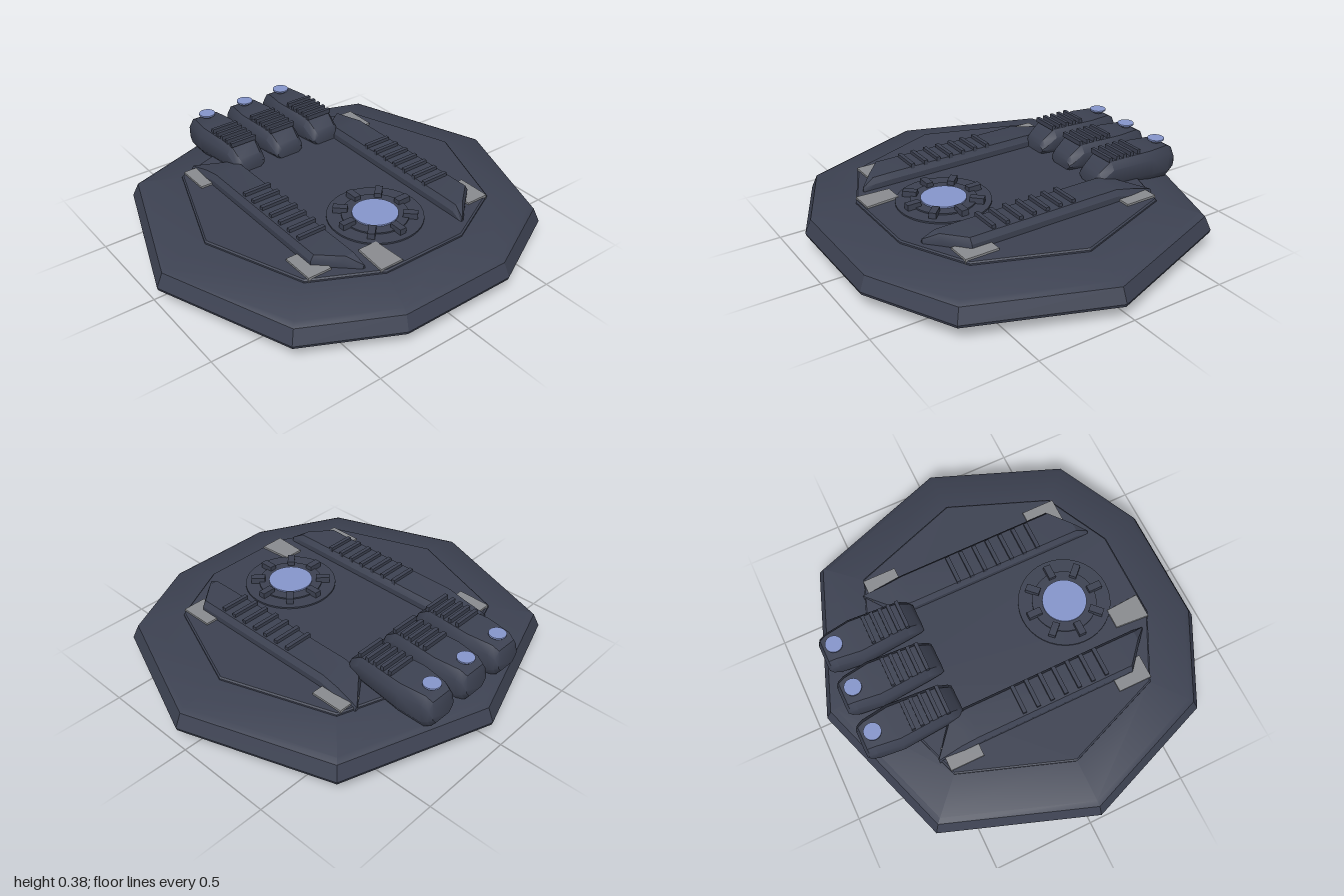
import * as THREE from 'three';
import { toCreasedNormals } from 'three/addons/utils/BufferGeometryUtils.js';

export function createModel() {
  const model = new THREE.Group();
  const mat = (name, color) => {
    const m = new THREE.MeshStandardMaterial({ color });
    m.name = name;
    return m;
  };
  const plating = mat('dark slate plating', 0x3d4252);
  const glow = mat('pale blue glow', 0x8696cc);
  const steel = mat('light steel', 0x8a8c90);

  const add = (name, geometry, material, parent = model) => {
    const mesh = new THREE.Mesh(geometry, material);
    mesh.name = name;
    parent.add(mesh);
    return mesh;
  };
  const box = (name, material, w, h, d, x, y, z, parent) => {
    const mesh = add(name, new THREE.BoxGeometry(w, h, d), material, parent);
    mesh.position.set(x, y, z);
    return mesh;
  };
  const disc = (name, material, r, y0, y1, x, z, sides = 32, parent) => {
    const mesh = add(name, new THREE.CylinderGeometry(r, r, y1 - y0, sides), material, parent);
    mesh.position.set(x, (y0 + y1) / 2, z);
    return mesh;
  };

  // Skins a stack of equal-length rings and caps both ends
  function loft(rings, crease = 0.4) {
    const pos = [];
    const tri = (...pts) => pts.forEach((p) => pos.push(...p));
    const n = rings[0].length;
    for (let k = 0; k < rings.length - 1; k++) {
      const a = rings[k], b = rings[k + 1];
      for (let i = 0; i < n; i++) {
        const j = (i + 1) % n;
        tri(a[i], a[j], b[j]);
        tri(a[i], b[j], b[i]);
      }
    }
    const first = rings[0], last = rings[rings.length - 1];
    for (let i = 1; i < n - 1; i++) {
      tri(first[0], first[i + 1], first[i]);
      tri(last[0], last[i], last[i + 1]);
    }
    const g = new THREE.BufferGeometry();
    g.setAttribute('position', new THREE.Float32BufferAttribute(pos, 3));
    return toCreasedNormals(g, crease);
  }

  // Chamfered rectangular cross-section at depth z
  function section(z, x0, x1, y0, y1, chamfer) {
    const cx = Math.min(chamfer, (x1 - x0) * 0.4);
    const cy = Math.min(chamfer * 1.6, (y1 - y0) * 0.4);
    return [
      [x0 + cx, y0, z], [x1 - cx, y0, z], [x1, y0 + cy, z], [x1, y1 - cy, z],
      [x1 - cx, y1, z], [x0 + cx, y1, z], [x0, y1 - cy, z], [x0, y0 + cy, z],
    ];
  }

  // Nine-sided hull and the raised deck that repeats its outline
  const half = [[-0.74, -0.69], [-1, 0.05], [-0.74, 0.72], [-0.3, 0.94]];
  const outline = [[0, -0.945], ...half, ...half.map(([x, z]) => [-x, z]).reverse()];
  const ring = (s, y) => outline.map(([x, z]) => [x * s, y, 0.025 * (1 - s) + z * s]);
  add('hull', loft([ring(0.8, 0), ring(0.995, 0.085), ring(1, 0.1), ring(0.968, 0.17),
    ring(0.94, 0.185), ring(0.735, 0.225)]), plating);
  add('deck', loft([ring(0.74, 0.215), ring(0.74, 0.232), ring(0.732, 0.238)]), plating);

  // Side rails with ribs, mirrored
  const railStations = [ // z, inner x, outer x, top y
    [-0.54, 0.45, 0.47, 0.245], [-0.42, 0.3, 0.47, 0.275], [-0.33, 0.285, 0.47, 0.295],
    [0.48, 0.285, 0.47, 0.295], [0.57, 0.285, 0.365, 0.293], [0.63, 0.285, 0.3, 0.258],
  ];
  for (const side of [1, -1]) {
    const rail = new THREE.Group();
    rail.name = side > 0 ? 'leftRail' : 'rightRail';
    model.add(rail);
    const rings = railStations.map(([z, a, b, top]) =>
      section(z, Math.min(side * a, side * b), Math.max(side * a, side * b), 0.2, top, 0.018));
    add('railBody', loft(rings), plating, rail);
    for (let i = 0; i < 7; i++) {
      box('railRib', plating, 0.145, 0.03, 0.02, side * 0.37, 0.297, -0.085 + i * 0.0725, rail);
    }
    // Landing pads tucked beneath the rails
    box('rearPad', steel, 0.12, 0.03, 0.17, side * 0.47, 0.233, -0.425);
    box('frontPad', steel, 0.12, 0.03, 0.17, side * 0.47, 0.233, 0.465);
  }

  // Tapered front step
  add('frontStep', loft([
    section(0.52, -0.235, -0.135, 0.22, 0.249, 0.001),
    section(0.69, -0.247, -0.123, 0.22, 0.247, 0.001),
  ]), steel);

  // Three engine pods at the rear
  const podStations = [ // z, half width, bottom y, top y
    [-0.835, 0.07, 0.22, 0.3], [-0.82, 0.082, 0.2, 0.335], [-0.785, 0.09, 0.182, 0.355],
    [-0.66, 0.107, 0.2, 0.36], [-0.42, 0.092, 0.22, 0.36], [-0.355, 0.084, 0.225, 0.31],
    [-0.34, 0.075, 0.235, 0.285],
  ];
  for (const x of [-0.235, 0, 0.235]) {
    const pod = new THREE.Group();
    pod.name = 'enginePod';
    pod.position.x = x;
    model.add(pod);
    add('podBody', loft(podStations.map(([z, w, y0, y1]) =>
      section(z, -w, w, y0, y1, 0.025)), 0.6), plating, pod);
    for (let i = 0; i < 5; i++) {
      box('podRib', plating, 0.145, 0.024, 0.018, 0, 0.37, -0.59 + i * 0.044, pod);
    }
    disc('lampPost', plating, 0.025, 0.345, 0.37, 0, -0.765, 16, pod);
    disc('podLamp', glow, 0.042, 0.37, 0.378, 0, -0.765, 24, pod);
  }

  // Round hatch with a glowing centre and eight clamps
  const hatchZ = 0.35;
  disc('hatchBase', plating, 0.23, 0.23, 0.246, 0, hatchZ, 40);
  disc('hatchStep', plating, 0.16, 0.24, 0.253, 0, hatchZ, 40);
  disc('hatchGlow', glow, 0.11, 0.252, 0.26, 0, hatchZ, 40);
  for (let i = 0; i < 8; i++) {
    const a = (i * Math.PI) / 4;
    const clamp = box('hatchClamp', plating, 0.035, 0.035, 0.07,
      Math.sin(a) * 0.165, 0.258, hatchZ + Math.cos(a) * 0.165);
    clamp.rotation.y = a;
  }

  return model;
}
